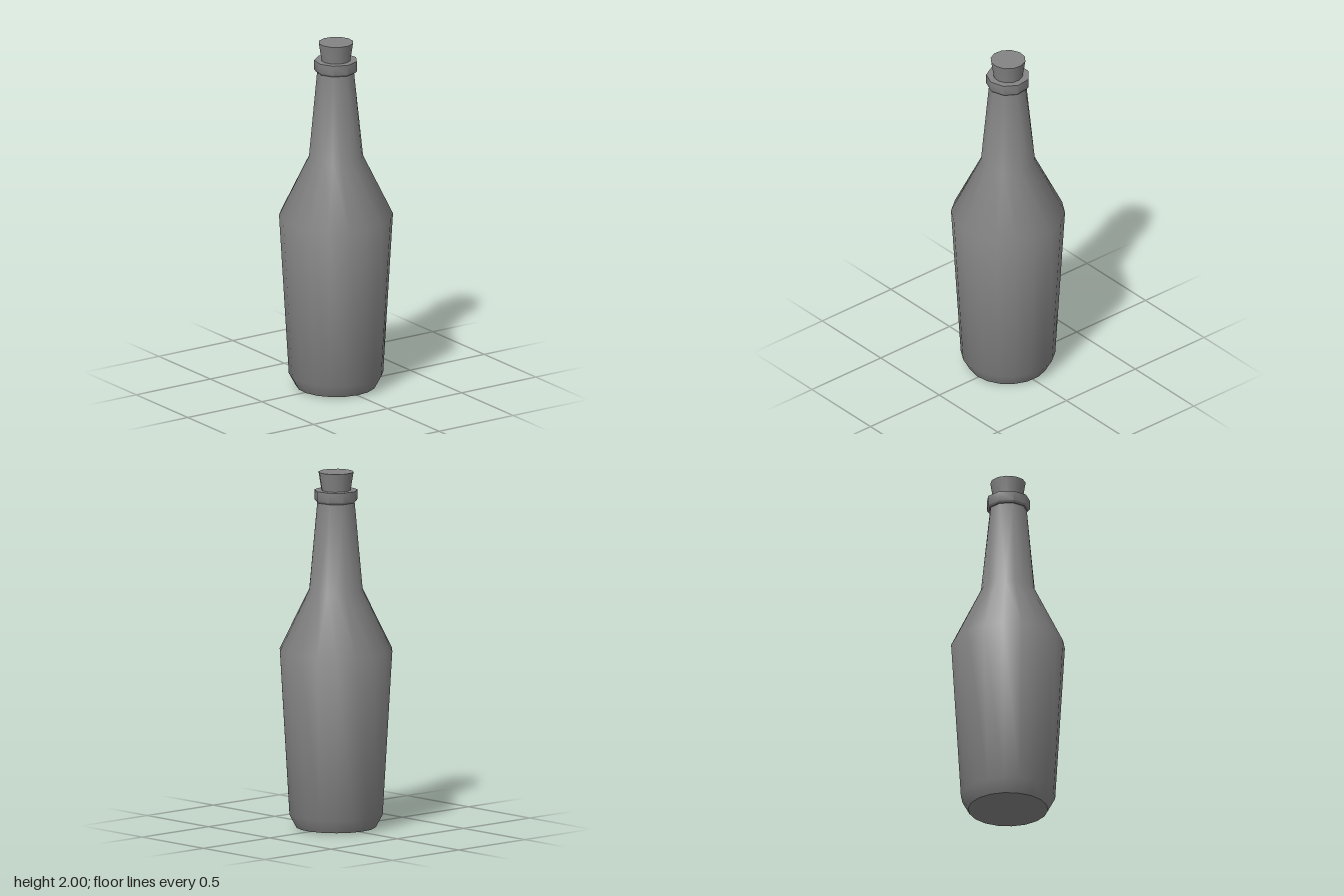
import * as THREE from 'three';
import { mergeVertices, toCreasedNormals } from 'three/addons/utils/BufferGeometryUtils.js';

const deg = Math.PI / 180;
const material = new THREE.MeshStandardMaterial({ color: 0x838383 });

// Turned part from [radius, height] points, listed from the bottom up
function turned(name, profile, sides, startDeg, reshape) {
  const points = profile.map(([r, y]) => new THREE.Vector2(r, y));
  let geometry = new THREE.LatheGeometry(points, sides, startDeg * deg);
  if (reshape) reshape(geometry.attributes.position, points.length);
  geometry.deleteAttribute('uv');
  geometry.deleteAttribute('normal');
  geometry = toCreasedNormals(mergeVertices(geometry, 1e-5), 0.8);
  const mesh = new THREE.Mesh(geometry, material);
  mesh.name = name;
  return mesh;
}

// The 18-sided neck ends in a 9-sided mouth: in the top row, every second
// corner joins the next one
function nineSidedMouth(position, rows) {
  for (let i = 2 * rows - 1; i < position.count; i += 2 * rows) {
    position.setX(i, position.getX(i + rows));
    position.setZ(i, position.getZ(i + rows));
  }
}

export function createModel() {
  const bottle = new THREE.Group();
  bottle.name = 'bottle';

  // Base, body, shoulder and neck
  bottle.add(turned('body', [
    [0, 0], [0.222, 0.006], [0.262, 0.08], [0.316, 1.0], [0.15, 1.34], [0.104, 1.84],
  ], 18, -2, nineSidedMouth));

  // Collar around the mouth, closed inwards to the cork
  bottle.add(turned('collar', [
    [0.1, 1.832], [0.112, 1.832], [0.121, 1.843], [0.121, 1.898], [0.07, 1.898],
  ], 9, -2));

  // Tapered cork, reaching a little way into the neck
  bottle.add(turned('cork', [
    [0, 1.86], [0.076, 1.86], [0.098, 2.0], [0, 2.0],
  ], 12, 9));

  return bottle;
}
